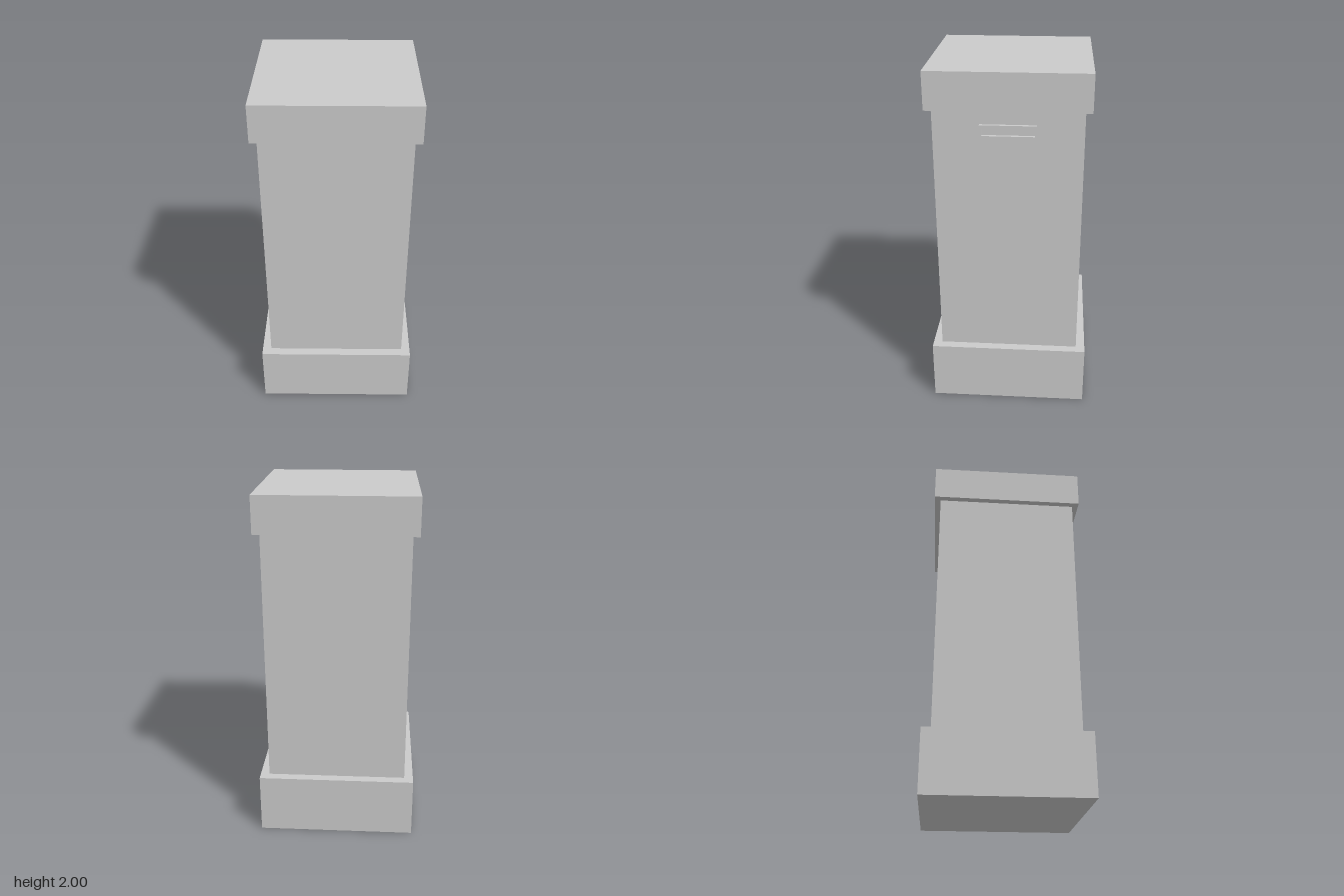
import * as THREE from 'three';

const material = new THREE.MeshStandardMaterial({ color: 0xcccccc, flatShading: true });

// Square block of a given half width between two heights
function block(name, half, y0, y1) {
  const mesh = new THREE.Mesh(new THREE.BoxGeometry(half * 2, y1 - y0, half * 2), material);
  mesh.name = name;
  mesh.position.y = (y0 + y1) / 2;
  return mesh;
}

// Closed rectangular outline centred on the origin
function rectangle(target, halfW, halfH) {
  target.moveTo(-halfW, -halfH);
  target.lineTo(halfW, -halfH);
  target.lineTo(halfW, halfH);
  target.lineTo(-halfW, halfH);
  target.closePath();
  return target;
}

export function createModel() {
  const group = new THREE.Group();
  group.name = 'pedestalBin';

  group.add(
    block('base', 0.449, 0, 0.35),
    block('body', 0.398, 0.35, 1.795),
    block('lid', 0.433, 1.795, 2)
  );

  // Shallow open pull frame on the left side: thicker ends, thin top and bottom
  const frame = rectangle(new THREE.Shape(), 0.15, 0.03);
  frame.holes.push(rectangle(new THREE.Path(), 0.139, 0.028));
  const geometry = new THREE.ExtrudeGeometry(frame, { depth: 0.023, bevelEnabled: false });
  geometry.rotateY(Math.PI / 2);
  const handle = new THREE.Mesh(geometry, material);
  handle.name = 'sideHandle';
  handle.position.set(0.393, 1.688, 0);
  group.add(handle);

  return group;
}
